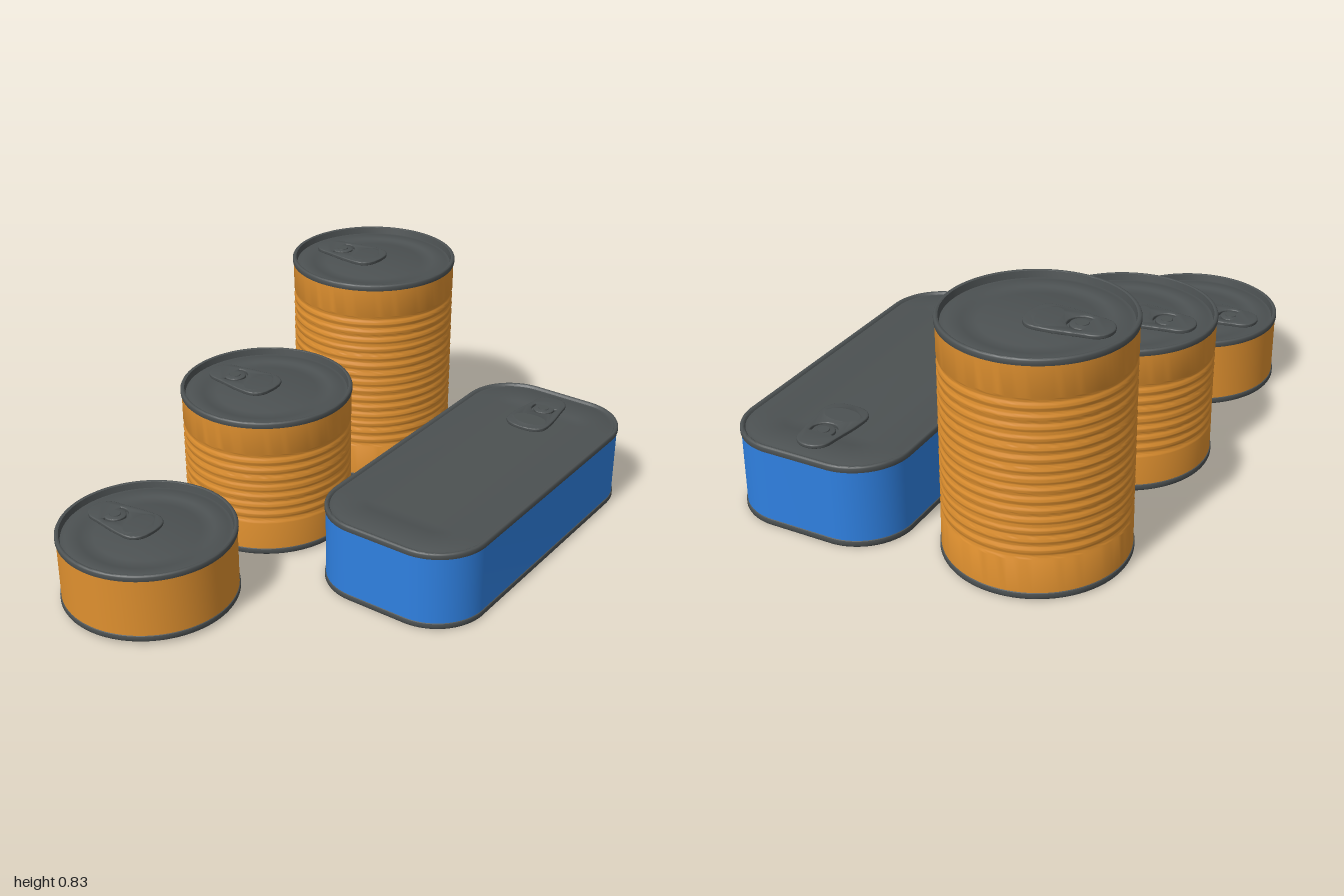
import * as THREE from 'three';
import { toCreasedNormals } from 'three/addons/utils/BufferGeometryUtils.js';

const metal = new THREE.MeshStandardMaterial({ color: 0x4c5152 });
const orange = new THREE.MeshStandardMaterial({ color: 0xdf902f });
const blue = new THREE.MeshStandardMaterial({ color: 0x2f80e0 });
const SEG = 96;

// Lathe a profile, then pull the four quadrants apart by (cx, cz) for a rounded rectangle
function ring(profile, cx = 0, cz = 0) {
  const points = profile.map(([r, y]) => new THREE.Vector2(r, y));
  const geo = new THREE.LatheGeometry(points, SEG, Math.PI / SEG);
  const p = geo.attributes.position;
  for (let i = 0; i < p.count; i++) {
    const x = p.getX(i), z = p.getZ(i);
    if (Math.hypot(x, z) < 1e-5) continue;
    p.setX(i, x + Math.sign(x) * cx);
    p.setZ(i, z + Math.sign(z) * cz);
  }
  return toCreasedNormals(geo, 0.65);
}

function add(group, name, geo, material) {
  const mesh = new THREE.Mesh(geo, material);
  mesh.name = name;
  group.add(mesh);
  return mesh;
}

// Seam and pressed panel, as [inset from the edge, depth below the seam top]
const SEAM = [[0.005, 0.024], [0.001, 0.022], [0, 0.018], [0, 0.006], [0.002, 0.002], [0.005, 0],
  [0.011, 0], [0.014, 0.002]];

function lidProfile(radius, depth, steps) {
  const pts = [...SEAM, [0.018, depth + 0.003], [0.03, depth + 0.003], [0.036, depth]];
  for (const [inset, drop] of steps) pts.push([inset, depth + drop]);
  const last = pts[pts.length - 1][1];
  return [...pts, [radius - 0.001, last], [radius, last]].map(([i, d]) => [radius - i, d]);
}

// Pull tab with finger hole and a curved slot round the rivet; narrow end towards -z
function makeTab() {
  const tab = new THREE.Group();
  tab.name = 'pullTab';
  const s = new THREE.Shape();
  s.moveTo(-0.081, -0.12);
  s.bezierCurveTo(-0.08, -0.05, -0.064, 0, -0.06, 0.045);
  s.bezierCurveTo(-0.055, 0.12, 0.055, 0.12, 0.06, 0.045);
  s.bezierCurveTo(0.064, 0, 0.08, -0.05, 0.081, -0.12);
  s.bezierCurveTo(0.081, -0.165, 0.05, -0.18, 0, -0.18);
  s.bezierCurveTo(-0.05, -0.18, -0.081, -0.165, -0.081, -0.12);

  const finger = new THREE.Path();
  finger.moveTo(-0.066, -0.11);
  finger.bezierCurveTo(-0.066, -0.06, 0.066, -0.06, 0.066, -0.11);
  finger.bezierCurveTo(0.066, -0.165, -0.066, -0.165, -0.066, -0.11);

  const slot = new THREE.Path();
  const a = Math.PI * 0.86, b = Math.PI * 2.14;
  slot.absarc(0, 0, 0.052, a, b, false);
  slot.absarc(0, 0, 0.036, b, a, true);
  slot.closePath();
  s.holes.push(finger, slot);

  const geo = new THREE.ExtrudeGeometry(s, {
    depth: 0.006, bevelThickness: 0.004, bevelSize: 0.004, bevelSegments: 2, curveSegments: 16,
  });
  geo.translate(0, 0, 0.004);
  geo.rotateX(-Math.PI / 2);
  add(tab, 'tabPlate', toCreasedNormals(geo, 0.8), metal);
  add(tab, 'rivet', new THREE.CylinderGeometry(0.02, 0.024, 0.018, 24), metal).position.y = 0.008;
  return tab;
}

function makeTin({ name, radius, height, cx = 0, cz = 0, material, ribs, topDepth, topSteps, baseSteps }) {
  const tin = new THREE.Group();
  tin.name = name;

  // Side wall, with wavy ribs where asked for
  const wallR = radius - 0.004;
  const wall = [[wallR, 0.012]];
  if (ribs) {
    const n = ribs.count * 8;
    for (let i = 0; i <= n; i++) {
      const wave = (1 - Math.cos((i / 8) * Math.PI * 2)) / 2;
      wall.push([wallR - 0.005 * wave, THREE.MathUtils.lerp(ribs.from, ribs.to, i / n)]);
    }
  }
  wall.push([wallR, height - 0.012]);
  add(tin, 'wall', ring(wall, cx, cz), material);

  // Lid and base share the seam; the base profile is flipped over
  const lid = lidProfile(radius, topDepth, topSteps).map(([r, d]) => [r, height - d]);
  add(tin, 'lid', ring(lid, cx, cz), metal);
  const base = lidProfile(radius, 0.01, baseSteps).reverse();
  add(tin, 'base', ring(base, cx, cz), metal);
  return tin;
}

export function createModel() {
  const model = new THREE.Group();
  model.name = 'foodTins';

  // Three round cans in a row at the back
  const steps = [[0.08, 0], [0.088, 0.004], [0.13, 0.004], [0.138, 0.001]];
  const cans = [
    { name: 'shortCan', x: -0.683, y: 0.012, height: 0.263 },
    { name: 'mediumCan', x: -0.01, y: 0.006, height: 0.544, ribs: { from: 0.13, to: 0.42, count: 8 } },
    { name: 'tallCan', x: 0.673, y: 0.002, height: 0.834, ribs: { from: 0.14, to: 0.71, count: 16 } },
  ];
  for (const { x, y, ...can } of cans) {
    const tin = makeTin({ ...can, radius: 0.316, material: orange, topDepth: 0.022, topSteps: steps, baseSteps: steps });
    const tab = makeTab();
    tab.position.set(0, can.height - 0.021, -0.15);
    tin.add(tab);
    tin.position.set(x, y, -0.356);
    model.add(tin);
  }

  // Long rounded tin at the front
  const longTin = makeTin({
    name: 'longTin', radius: 0.2, cx: 0.458, cz: 0.115, height: 0.304, material: blue, topDepth: 0.006,
    topSteps: [[0.145, 0], [0.153, 0.003]], baseSteps: [[0.145, 0], [0.153, 0.003]],
  });
  const tab = makeTab();
  tab.position.set(0.49, 0.297, 0);
  tab.rotation.y = -Math.PI / 2;
  longTin.add(tab);
  longTin.position.set(0.335, 0.001, 0.355);
  model.add(longTin);
  return model;
}
